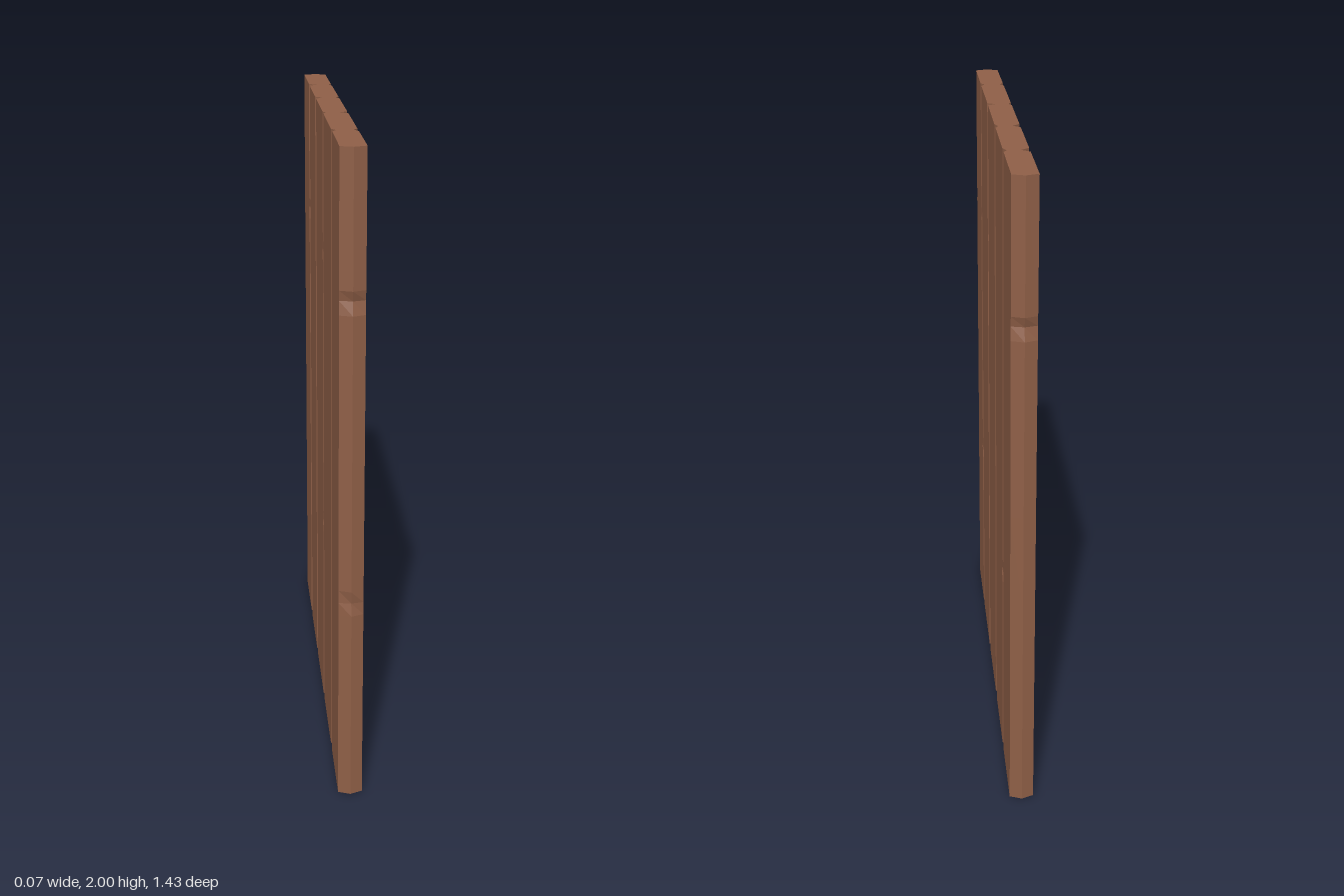
import * as THREE from 'three';

export function createModel() {
  const group = new THREE.Group();
  const wood = new THREE.MeshStandardMaterial({ color: 0x8f5f47 });
  wood.name = 'brown wood';

  const H = 0.037, END = 0.714, SHOULDER = 0.7;
  // Grooves between planks: [z start, z middle, z end, x of valley on right face, x of valley on left face]
  const grooves = [
    [0.475, 0.455, 0.432, 0.025, -0.025],
    [0.165, 0.147, 0.13, 0.013, -0.028],
    [-0.13, -0.152, -0.175, 0.027, -0.015],
    [-0.422, -0.444, -0.465, 0.027, -0.012],
  ];

  // Panel outline seen from above, as [x, z]
  const outline = [[0, END], [H, SHOULDER]];
  for (const [a, m, b, x] of grooves) outline.push([H, a], [x, m], [H, b]);
  outline.push([H, -SHOULDER], [0, -END], [-H, -SHOULDER]);
  for (const [a, m, b, , x] of [...grooves].reverse()) outline.push([-H, b], [x, m], [-H, a]);
  outline.push([-H, SHOULDER]);
  const shape = new THREE.Shape(outline.map(([x, z]) => new THREE.Vector2(x, -z)));

  // Extrude upward, with extra rings at the heights of the worn nicks
  const levels = [0, 0.62, 0.66, 0.7, 1.0, 1.54, 1.58, 1.61, 2];
  const last = levels.length - 1;
  const geometry = new THREE.ExtrudeGeometry(shape, { depth: last, steps: last, bevelEnabled: false });
  geometry.rotateX(-Math.PI / 2);

  // Nicks in the edges: [x, z, ring index, shift in z]
  const nicks = [
    [0, END, 2, -0.007], [0, END, 6, -0.01], [0, -END, 6, 0.01],
    [H, SHOULDER, 6, -0.006], [-H, SHOULDER, 6, -0.006],
    [H, -SHOULDER, 6, 0.006], [-H, -SHOULDER, 6, 0.006],
    [H, 0.475, 2, 0.015], [H, 0.475, 5, 0.012], [H, 0.475, 4, 0.008],
    [H, 0.13, 6, -0.01], [H, -0.175, 6, -0.015], [H, -0.422, 2, 0.025],
    [-H, -0.465, 6, -0.015], [-H, 0.13, 6, -0.012], [-H, 0.13, 2, -0.012],
  ];
  const p = geometry.attributes.position;
  for (let i = 0; i < p.count; i++) {
    const ring = Math.round(p.getY(i)), x = p.getX(i), z = p.getZ(i);
    p.setY(i, levels[ring]);
    for (const [nx, nz, r, dz] of nicks) {
      if (r === ring && Math.abs(nx - x) < 1e-4 && Math.abs(nz - z) < 1e-4) p.setZ(i, z + dz);
    }
  }
  geometry.computeVertexNormals();

  const panel = new THREE.Mesh(geometry, wood);
  panel.name = 'plankPanel';
  group.add(panel);
  return group;
}
